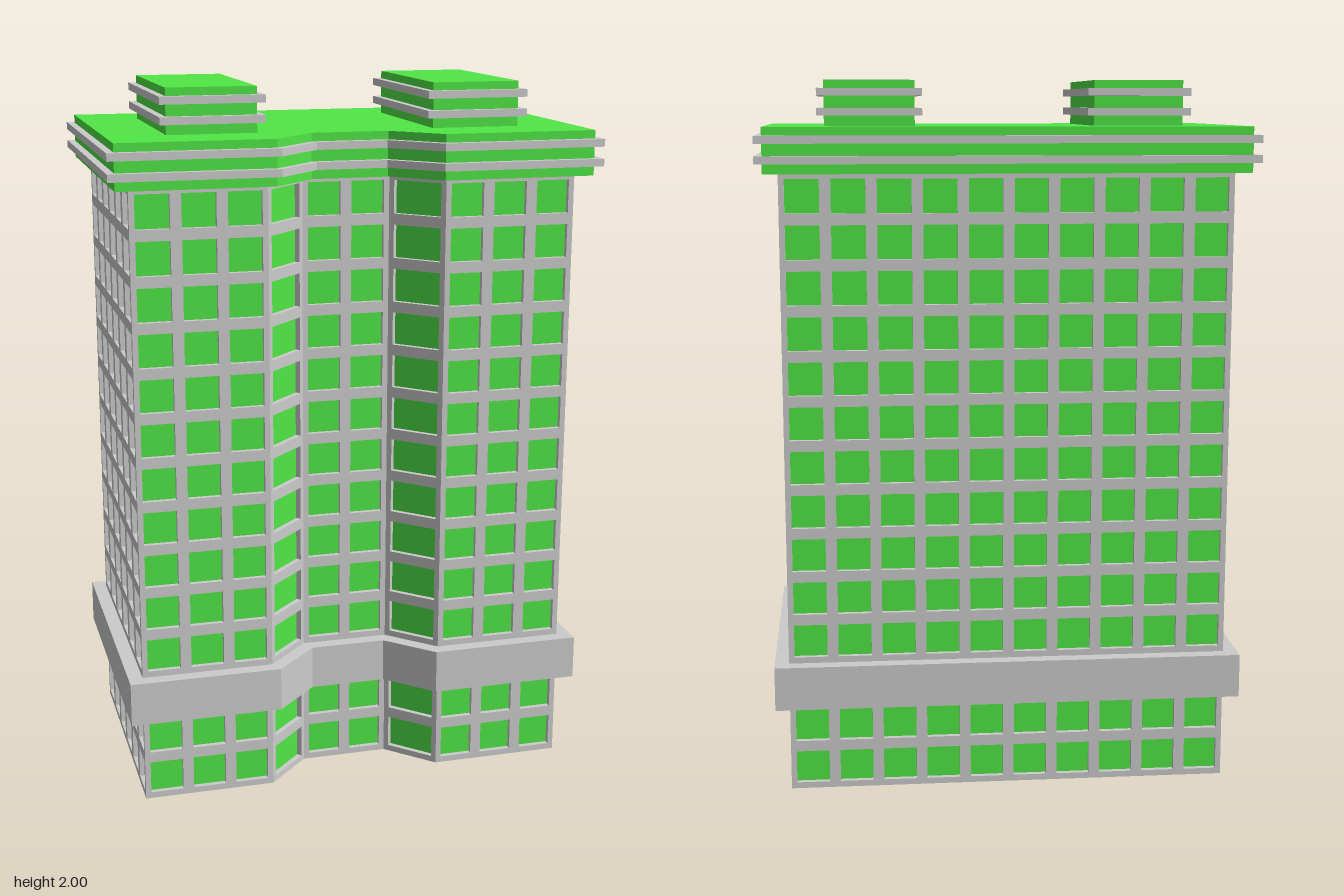
import * as THREE from 'three';

const BAY = 0.125;      // window bay width and storey height
const RECESS = 0.015;   // depth of the window reveals
const FLOORS = 14;
const BAND_FLOOR = 2;   // storey wrapped by the plain band

// Tower footprint as [x, z], with a splayed notch in the front
const footprint = [
  [-0.625, 0.375], [-0.25, 0.375], [-0.125, 0.25], [0.125, 0.25],
  [0.25, 0.375], [0.625, 0.375], [0.625, -0.375], [-0.625, -0.375],
];
const rectangle = (x, z, w, d) => [
  [x - w / 2, z + d / 2], [x + w / 2, z + d / 2], [x + w / 2, z - d / 2], [x - w / 2, z - d / 2],
];

// Outline moved outwards by d with mitred corners
function offset(points, d) {
  const n = points.length;
  const normal = (a, b) => {
    const dx = b[0] - a[0], dz = b[1] - a[1], l = Math.hypot(dx, dz);
    return [-dz / l, dx / l];
  };
  return points.map((p, i) => {
    const n1 = normal(points[(i + n - 1) % n], p);
    const n2 = normal(p, points[(i + 1) % n]);
    const k = d / (1 + n1[0] * n2[0] + n1[1] * n2[1]);
    return [p[0] + (n1[0] + n2[0]) * k, p[1] + (n1[1] + n2[1]) * k];
  });
}

export function createModel() {
  const model = new THREE.Group();
  model.name = 'towerBlock';
  const grey = new THREE.MeshStandardMaterial({ color: 0xcccccc });
  const green = new THREE.MeshStandardMaterial({ color: 0x50e646 });

  // Flat slab with the given outline between two heights
  function slab(name, outline, y0, y1, material) {
    const shape = new THREE.Shape(outline.map(([x, z]) => new THREE.Vector2(x, -z)));
    const geometry = new THREE.ExtrudeGeometry(shape, { depth: y1 - y0, bevelEnabled: false });
    geometry.rotateX(-Math.PI / 2);
    const mesh = new THREE.Mesh(geometry, material);
    mesh.name = name;
    mesh.position.y = y0;
    model.add(mesh);
  }

  // Green block ringed by two thin projecting grey trims
  function trimmedBlock(name, outline, y0, y1, trimOut, trims) {
    slab(name, outline, y0, y1, green);
    for (const y of trims) slab(name + 'Trim', offset(outline, trimOut), y, y + 0.021, grey);
  }

  // Facade panel along one footprint edge, pierced by a grid of windows
  function facade(a, b) {
    const dx = b[0] - a[0], dz = b[1] - a[1], length = Math.hypot(dx, dz);
    const height = FLOORS * BAY;
    const bays = Math.round(length / BAY), pitch = length / bays;
    const rect = (path, x0, y0, x1, y1) =>
      path.moveTo(x0, y0).lineTo(x1, y0).lineTo(x1, y1).lineTo(x0, y1).closePath();
    const shape = rect(new THREE.Shape(), 0, 0, length, height);
    for (let f = 0; f < FLOORS; f++) {
      if (f === BAND_FLOOR) continue;
      for (let i = 0; i < bays; i++) {
        shape.holes.push(rect(new THREE.Path(),
          i * pitch + 0.0155, f * BAY + 0.0175, (i + 1) * pitch - 0.0155, (f + 1) * BAY - 0.0135));
      }
    }
    const geometry = new THREE.ExtrudeGeometry(shape, { depth: RECESS, bevelEnabled: false });
    geometry.translate(0, 0, -RECESS);
    const mesh = new THREE.Mesh(geometry, grey);
    mesh.name = 'facade';
    mesh.position.set(a[0], 0, a[1]);
    mesh.rotation.y = Math.atan2(-dz, dx);
    model.add(mesh);
  }

  // Tower: glazed core behind the window grids, closed by a base plate
  slab('basePlate', offset(footprint, -0.002), 0, 0.01, grey);
  slab('glazing', offset(footprint, -RECESS), 0.01, FLOORS * BAY, green);
  footprint.forEach((p, i) => facade(p, footprint[(i + 1) % footprint.length]));

  // Plain band around the third storey
  slab('band', offset(footprint, 0.04), 0.25, 0.375, grey);

  // Cornice and the two roof blocks
  trimmedBlock('cornice', offset(footprint, 0.04), 1.75, 1.875, 0.021, [1.777, 1.831]);
  for (const side of [-1, 1]) {
    trimmedBlock('roofBlock', rectangle(side * 0.375, 0, 0.25, 0.5), 1.875, 2, 0.02, [1.903, 1.957]);
  }
  return model;
}
